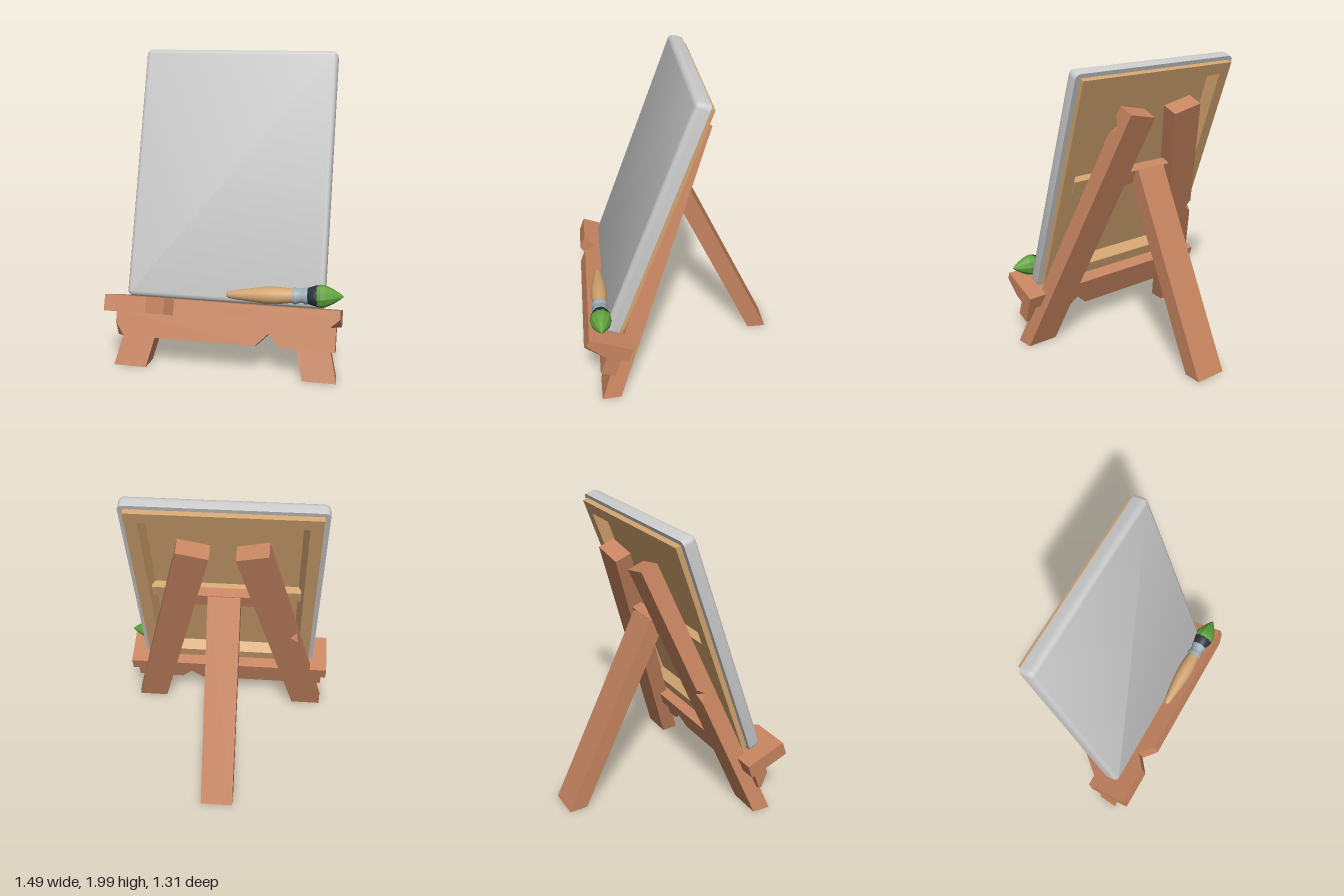
import * as THREE from 'three';
import { ConvexGeometry } from 'three/addons/geometries/ConvexGeometry.js';
import { toCreasedNormals } from 'three/addons/utils/BufferGeometryUtils.js';

const TILT = 0.356; // backward lean of the easel
const CX = -0.0125; // centre line of the easel

const mat = (color, flatShading = false) => new THREE.MeshStandardMaterial({ color, flatShading });
const wood = mat(0xc68460, true);
const tan = mat(0xd2a470, true);
const canvasGrey = mat(0xcccccc);

function add(parent, name, geometry, material) {
  const mesh = new THREE.Mesh(geometry, material);
  mesh.name = name;
  parent.add(mesh);
  return mesh;
}

// Convex block from corner points [x, y, z]
const hull = (pts) => new ConvexGeometry(pts.map((p) => new THREE.Vector3(...p)));

// Box given by its limits
function box(x0, x1, y0, y1, z0, z1) {
  return new THREE.BoxGeometry(x1 - x0, y1 - y0, z1 - z0)
    .translate((x0 + x1) / 2, (y0 + y1) / 2, (z0 + z1) / 2);
}

// Skin over rounded rectangles, each { w, h, r, z } with half sizes w and h
function loft(rings, cy, steps, capEnd) {
  const pos = [], idx = [];
  const n = 4 * (steps + 1);
  for (const { w, h, r, z } of rings) {
    for (let c = 0; c < 4; c++) {
      const sx = c === 0 || c === 3 ? 1 : -1, sy = c < 2 ? 1 : -1;
      for (let k = 0; k <= steps; k++) {
        const a = (c + (steps ? k / steps : 0.5)) * Math.PI / 2;
        pos.push(CX + sx * (w - r) + r * Math.cos(a), cy + sy * (h - r) + r * Math.sin(a), z);
      }
    }
  }
  for (let j = 0; j < rings.length - 1; j++) {
    for (let i = 0; i < n; i++) {
      const a = j * n + i, b = j * n + (i + 1) % n;
      idx.push(a, b, b + n, a, b + n, a + n);
    }
  }
  const last = (rings.length - 1) * n;
  for (let i = 1; i < n - 1; i++) {
    idx.push(0, i + 1, i);
    if (capEnd) idx.push(last, last + i, last + i + 1);
  }
  const g = new THREE.BufferGeometry();
  g.setAttribute('position', new THREE.Float32BufferAttribute(pos, 3));
  g.setIndex(idx);
  g.computeVertexNormals();
  return g;
}

// Front leg with one chip out of its outer edge; s is the side
function frontLeg(parent, s, chipY, chipZ, h, d) {
  const leg = new THREE.Group();
  leg.name = s > 0 ? 'leftFrontLeg' : 'rightFrontLeg';
  const zs = [0.415, 0.53];
  const inward = chipZ === zs[1] ? -1 : 1;
  const at = (y, side, z) => [CX + s * (0.568 - 0.235 * y + side * 0.107), y, z];
  const other = zs.find((z) => z !== chipZ);
  const cut = [
    at(chipY, -1, chipZ), at(chipY, -1, other), at(chipY, 1, other),
    at(chipY, 1, chipZ + inward * d), at(chipY, 1 - d / 0.107, chipZ),
  ];
  const bottom = [], top = [];
  for (const side of [-1, 1]) for (const z of zs) {
    bottom.push(at(-z * Math.tan(TILT), side, z)); // cut level with the floor
    top.push(at(1.635 + 0.025 * side, side, z));
  }
  add(leg, 'lowerLeg', hull([...bottom, ...cut, at(chipY - h, 1, chipZ)]), wood);
  add(leg, 'upperLeg', hull([...top, ...cut, at(chipY + h, 1, chipZ)]), wood);
  parent.add(leg);
}

// Lathe turned about the x axis from [x, radius] pairs
function turned(profile, segments) {
  const pts = profile.map(([x, r]) => new THREE.Vector2(r, x));
  return new THREE.LatheGeometry(pts, segments).rotateZ(-Math.PI / 2);
}

export function createModel() {
  const model = new THREE.Group();
  model.name = 'tabletopEasel';
  const easel = new THREE.Group();
  easel.name = 'leaningPart';
  easel.rotation.x = -TILT;
  model.add(easel);

  // Canvas: rounded front rim, hollow at the back
  const W = 0.6325, H = 0.8155, cy = 1.0755;
  const rim = (inset, z) => ({ w: W - inset, h: H - inset, r: Math.max(0.035 - inset, 0.006), z });
  const canvas = loft([
    rim(0.12, 0.62), rim(0.12, 0.57), rim(0, 0.57), rim(0, 0.622),
    rim(0.004, 0.642), rim(0.013, 0.655), rim(0.029, 0.662),
  ], cy, 4, true);
  add(easel, 'canvas', toCreasedNormals(canvas, 0.7), canvasGrey);

  // Stretcher frame with sloped inner edges and a recessed panel
  const fr = (inset, z) => ({ w: W - 0.035 - inset, h: H - 0.028 - inset, r: 0, z });
  add(easel, 'stretcherFrame',
    loft([fr(0.115, 0.605), fr(0.08, 0.535), fr(0, 0.535), fr(0, 0.575)], cy, 0, false), tan);
  add(easel, 'stretcherCrossbar', box(CX - 0.5, CX + 0.5, 1.03, 1.12, 0.55, 0.606), tan);

  // Front legs and the bar joining them
  frontLeg(easel, 1, 1.53, 0.53, 0.06, 0.06);
  frontLeg(easel, -1, 0.78, 0.415, 0.05, 0.045);
  add(easel, 'legCrossbar', box(CX - 0.2, CX + 0.2, 1.1, 1.2, 0.44, 0.51), wood);

  // Tray with a notch in its front edge and a chipped corner
  const tray = new THREE.Group();
  tray.name = 'tray';
  easel.add(tray);
  const y0 = 0.157, y1 = 0.259, zb = 0.473, zf = 0.765, nx = -0.385, nz = 0.685;
  const trayL = [], trayR = [];
  for (const y of [y0, y1]) {
    trayL.push([-0.75, y, zb], [nx, y, zb], [nx, y, nz], [-0.48, y, zf], [-0.75, y, zf]);
    trayR.push([nx, y, zb], [0.725, y, zb], [nx, y, nz], [-0.3, y, zf]);
  }
  trayR.push([0.725, y1, zf], [0.67, y0, zf], [0.725, y0, 0.63], [0.725, 0.206, zf]);
  add(tray, 'trayRightPart', hull(trayL), wood);
  add(tray, 'trayLeftPart', hull(trayR), wood);

  // Apron board below the tray, notched underneath, with a chipped corner
  const apron = new THREE.Group();
  apron.name = 'apron';
  easel.add(apron);
  const apronL = [], apronR = [], ab = 0.51, af = 0.605;
  for (const z of [ab, af]) {
    apronL.push([-0.72, y0, z], [0.28, y0, z], [0.28, 0.084, z], [0.195, 0, z]);
    apronR.push([0.28, y0, z], [0.695, y0, z], [0.28, 0.084, z], [0.355, 0, z], [0.695, 0, z]);
  }
  apronL.push([-0.72, 0, ab], [-0.66, 0, af], [-0.72, 0.085, af], [-0.72, 0, 0.53]);
  add(apron, 'apronRightPart', hull(apronL), wood);
  add(apron, 'apronLeftPart', hull(apronR), wood);

  // Back leg
  const backLeg = [];
  for (const x of [-0.12, 0.095]) {
    backLeg.push([x, 0, -0.65], [x, 0, -0.525], [x, 1.29, -0.03], [x, 1.237, 0.07]);
  }
  add(model, 'backLeg', hull(backLeg), wood);

  // Paint brush lying on the tray
  const brush = new THREE.Group();
  brush.name = 'paintBrush';
  brush.position.set(0.015, 0.532, 0.546);
  brush.rotation.z = 0.055;
  model.add(brush);
  add(brush, 'handle', turned([[0, 0], [0.002, 0.014], [0.012, 0.021], [0.06, 0.029], [0.15, 0.041],
    [0.24, 0.052], [0.31, 0.054], [0.36, 0.049], [0.42, 0.042]], 20), mat(0xd2a470));
  add(brush, 'ferrule', toCreasedNormals(turned([[0.41, 0], [0.415, 0.05], [0.43, 0.052], [0.445, 0.045],
    [0.475, 0.044], [0.49, 0.052], [0.505, 0.052], [0.51, 0.04]], 20), 0.6), mat(0x9fb0ba));
  add(brush, 'bristleBase', turned([[0.495, 0.04], [0.51, 0.05], [0.54, 0.06], [0.565, 0.067],
    [0.575, 0.05]], 14), mat(0x2a303c));
  add(brush, 'bristleTip', turned([[0.54, 0.045], [0.56, 0.066], [0.585, 0.071], [0.615, 0.066],
    [0.66, 0.045], [0.7, 0.02], [0.725, 0]], 10), mat(0x5fa03c, true));

  return model;
}
